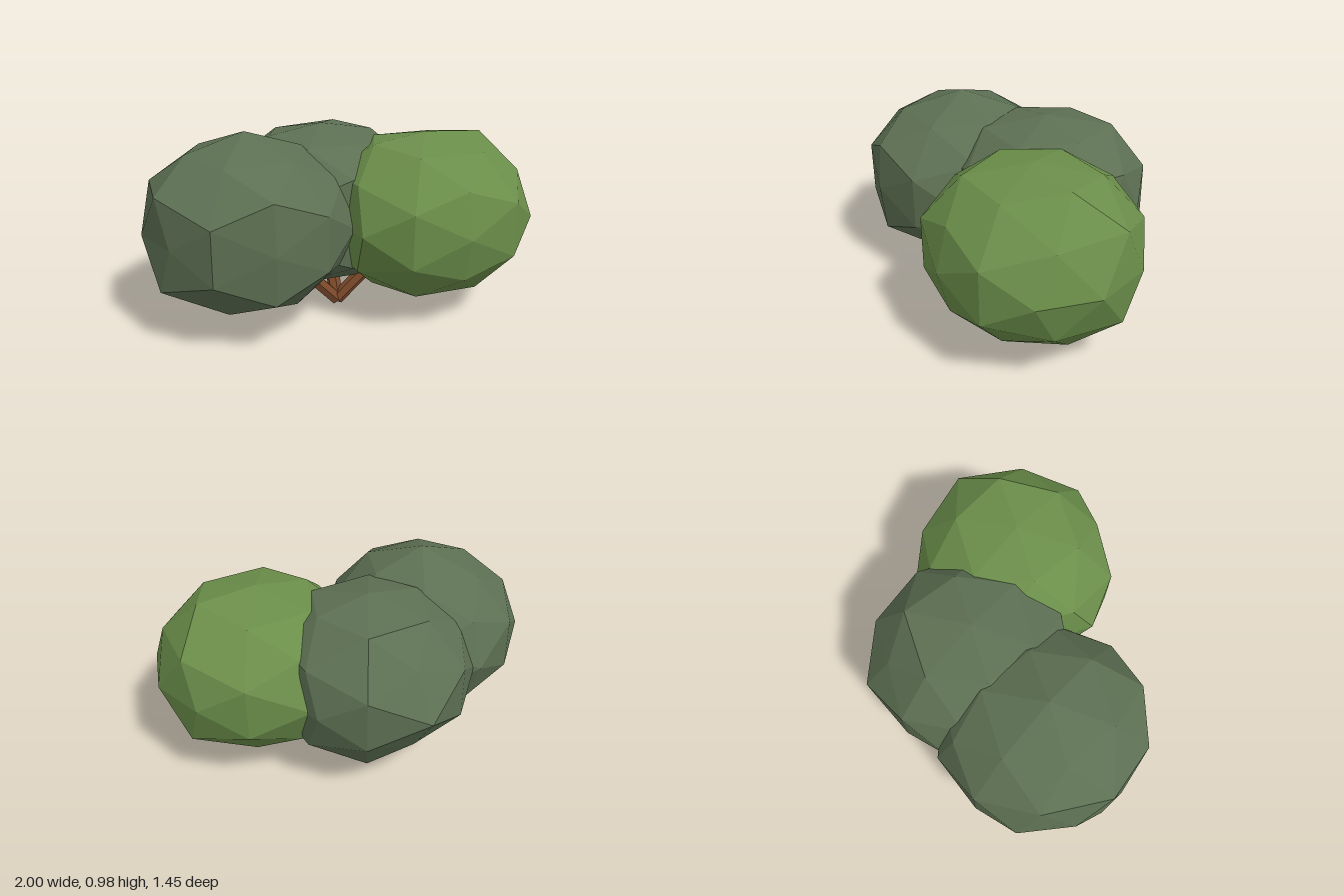
import * as THREE from 'three';

const RADIUS = 0.55, SQUASH = 0.8;
const vec = (x, y, z) => new THREE.Vector3(x, y, z);

// Squashed low-poly leaf ball. "high" and "low" scale the tips on the +axes and
// -axes; each bump swells one direction and its mirror image below.
function leafBall(name, color, center, high, low, bumps) {
  const geo = new THREE.IcosahedronGeometry(1, 1);
  const pos = geo.attributes.position;
  for (let i = 0; i < pos.count; i++) {
    const v = vec().fromBufferAttribute(pos, i).normalize();
    const upper = vec(v.x, Math.abs(v.y), v.z);
    let scale = 1;
    for (const axis of ['x', 'y', 'z']) {
      if (v[axis] > 0.98) scale = high[axis];
      if (v[axis] < -0.98) scale = low[axis];
    }
    for (const { dir, size } of bumps) {
      if (dir.dot(upper) > 0.98) scale = size;
    }
    v.multiplyScalar(RADIUS * scale);
    pos.setXYZ(i, v.x, v.y * SQUASH, v.z);
  }
  geo.computeVertexNormals();
  const mesh = new THREE.Mesh(geo, new THREE.MeshStandardMaterial({ color, flatShading: true }));
  mesh.name = name;
  mesh.position.copy(center);
  return mesh;
}

// Straight six-sided stem between two points.
function stem(name, from, to, material) {
  const dir = to.clone().sub(from);
  const mesh = new THREE.Mesh(new THREE.CylinderGeometry(0.036, 0.036, dir.length(), 6), material);
  mesh.name = name;
  mesh.position.copy(from).addScaledVector(dir, 0.5);
  mesh.quaternion.setFromUnitVectors(vec(0, 1, 0), dir.normalize());
  return mesh;
}

export function createModel() {
  const group = new THREE.Group();
  group.name = 'bush';
  const sage = 0x5d7053, green = 0x6b8e4a;
  const wood = new THREE.MeshStandardMaterial({ color: 0x7d4a2b, flatShading: true });

  const balls = [
    {
      side: 'right', color: sage, center: vec(-0.48, 0.52, 0.085),
      high: vec(0.9, 1.055, 0.945), low: vec(0.945, 0.885, 1.02),
      bumps: [
        { dir: vec(-0.81, 0.5, 0.31), size: 1.06 },
        { dir: vec(-0.85, 0, 0.53), size: 0.92 },
        { dir: vec(0, 0.53, 0.85), size: 1.06 },
      ],
    },
    {
      side: 'left', color: green, center: vec(0.44, 0.52, 0.215),
      high: vec(1.01, 0.955, 0.92), low: vec(0.885, 1.045, 1.045),
      bumps: [
        { dir: vec(0.81, 0.5, -0.31), size: 1.07 },
        { dir: vec(0.53, 0.85, 0), size: 1.07 },
        { dir: vec(0, 0.53, 0.85), size: 0.96 },
      ],
    },
    {
      side: 'back', color: sage, center: vec(0, 0.52, -0.15),
      high: vec(0.9, 0.965, 0.89), low: vec(0.92, 1.02, 1.055),
      bumps: [
        { dir: vec(0.85, 0, -0.53), size: 0.95 },
        { dir: vec(0.31, 0.81, -0.5), size: 1.05 },
        { dir: vec(0, 0.53, -0.85), size: 0.93 },
      ],
    },
  ];

  // Each stem runs from the shared foot into its leaf ball.
  const foot = vec(0, 0.025, 0.09);
  for (const { side, color, center, high, low, bumps } of balls) {
    group.add(leafBall(side + 'Foliage', color, center, high, low, bumps));
    group.add(stem(side + 'Stem', foot, center, wood));
  }
  return group;
}
